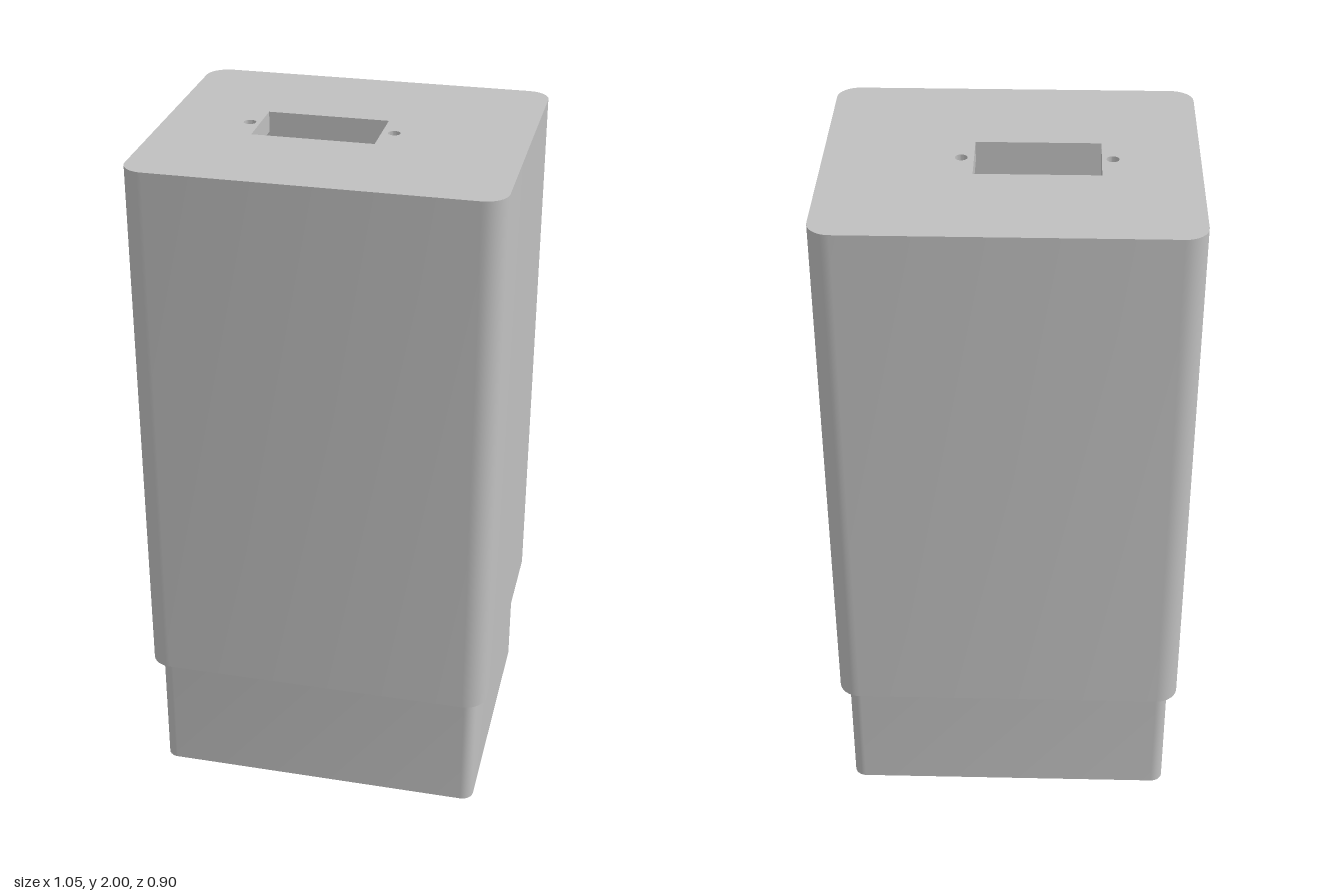
import * as THREE from 'three';
import { toCreasedNormals } from 'three/addons/utils/BufferGeometryUtils.js';

// Levels and footprints
const LEDGE = 0.38, CEILING = 1.94, TOP = 2;
const CAVITY = [0.928, 0.77];

// Counter-clockwise rectangle outline, with optional rounded corners
function rect(w, d, r = 0, cx = 0) {
  const corners = [[1, 1], [-1, 1], [-1, -1], [1, -1]];
  const steps = r > 0 ? 8 : 0;
  const points = [];
  corners.forEach(([sx, sy], i) => {
    for (let k = 0; k <= steps; k++) {
      const a = (i + (steps ? k / steps : 0)) * Math.PI / 2;
      points.push(new THREE.Vector2(
        cx + sx * (w / 2 - r) + r * Math.cos(a),
        sy * (d / 2 - r) + r * Math.sin(a)));
    }
  });
  return points;
}

function circle(r, cx) {
  return Array.from({ length: 24 }, (_, i) => {
    const a = i / 24 * Math.PI * 2;
    return new THREE.Vector2(cx + r * Math.cos(a), r * Math.sin(a));
  });
}

// Upright wall along an outline, facing outward or inward
function wall(outline, y0, y1, inward = false) {
  const n = outline.length, position = [], index = [];
  for (const p of outline) position.push(p.x, y0, -p.y, p.x, y1, -p.y);
  for (let i = 0; i < n; i++) {
    const a = 2 * i, b = 2 * ((i + 1) % n);
    if (inward) index.push(a, b + 1, b, a, a + 1, b + 1);
    else index.push(a, b, b + 1, a, b + 1, a + 1);
  }
  const geometry = new THREE.BufferGeometry();
  geometry.setAttribute('position', new THREE.Float32BufferAttribute(position, 3));
  geometry.setIndex(index);
  return toCreasedNormals(geometry, Math.PI / 6);
}

// Flat horizontal face with openings, facing up or down
function plate(outline, holes, y, up) {
  const shape = new THREE.Shape(outline);
  shape.holes = holes.map(h => new THREE.Path(h));
  return new THREE.ShapeGeometry(shape)
    .rotateX(up ? -Math.PI / 2 : Math.PI / 2)
    .translate(0, y, 0);
}

export function createModel() {
  const model = new THREE.Group();
  model.name = 'hollowEnclosure';
  const grey = new THREE.MeshStandardMaterial({ color: 0xc0c0c0 });
  grey.name = 'plain grey';
  const add = (name, geometry) => {
    const mesh = new THREE.Mesh(geometry, grey);
    mesh.name = name;
    model.add(mesh);
  };

  const shell = rect(1.046, 0.896, 0.065);
  const lip = rect(0.988, 0.83, 0.035);
  const cavity = rect(...CAVITY);
  // Connector slot flanked by two screw holes
  const openings = [rect(0.353, 0.194, 0, -0.073), circle(0.018, -0.28), circle(0.018, 0.139)];

  // Outer body and the narrower plug-in lip
  add('shellWall', wall(shell, LEDGE, TOP));
  add('shellTop', plate(shell, openings, TOP, true));
  add('shellLedge', plate(shell, [lip], LEDGE, false));
  add('lipWall', wall(lip, 0, LEDGE));
  add('lipRim', plate(lip, [cavity], 0, false));

  // Inside of the box
  add('cavityWall', wall(cavity, 0, CEILING, true));
  add('cavityCeiling', plate(cavity, openings, CEILING, false));
  ['connectorSlot', 'screwHoleRight', 'screwHoleLeft'].forEach((name, i) =>
    add(name, wall(openings[i], CEILING, TOP, true)));

  return model;
}
